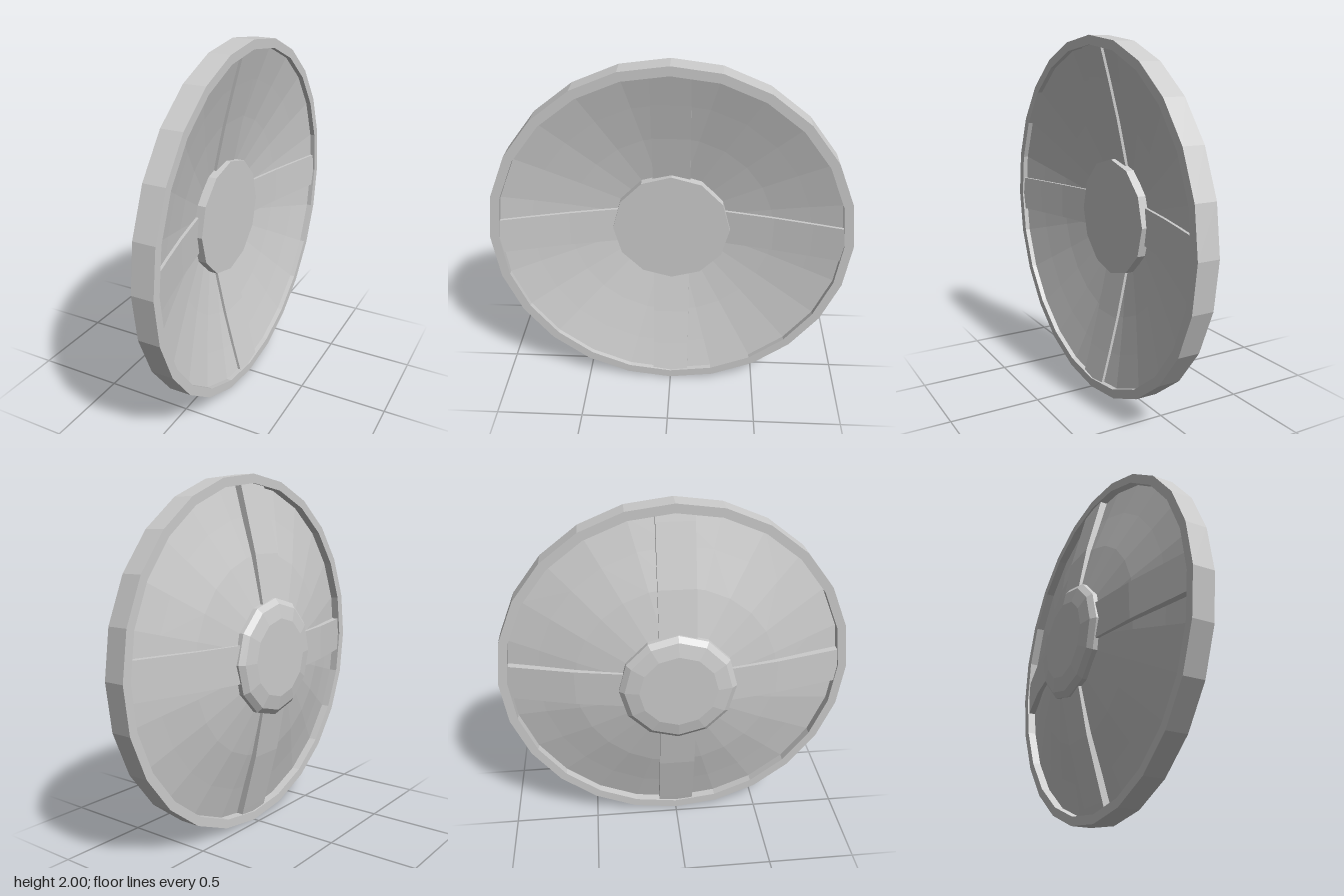
import * as THREE from 'three';

const grey = () => new THREE.MeshStandardMaterial({ color: 0xcccccc, flatShading: true, side: THREE.DoubleSide });

// Spin [radius, x] points about the x axis
function spin(name, points, sides) {
  const geometry = new THREE.LatheGeometry(points.map(([r, x]) => new THREE.Vector2(r, x)), sides);
  geometry.rotateZ(-Math.PI / 2);
  const mesh = new THREE.Mesh(geometry, grey());
  mesh.name = name;
  return mesh;
}

export function createModel() {
  const model = new THREE.Group();
  model.name = 'roundShield';
  const body = new THREE.Group();
  body.name = 'shieldBody';
  body.position.y = 1;
  model.add(body);

  // Band around the edge
  body.add(spin('rim', [[0.95, 0.033], [1, 0.033], [1, 0.155], [0.95, 0.155], [0.95, 0.033]], 24));

  // Shallow dished panel: convex and concave skins, closed by the rim and hub
  body.add(spin('dishOuter', [[0.32, -0.089], [0.57, -0.03], [0.777, 0.033], [0.95, 0.082]], 24));
  body.add(spin('dishInner', [[0.95, 0.127], [0.777, 0.08], [0.57, 0.027], [0.32, -0.028]], 24));

  // Central hub with a chamfered, domed outer side
  body.add(spin('hub', [[0, -0.155], [0.22, -0.155], [0.3, -0.139], [0.33, -0.114],
    [0.33, 0.022], [0, 0.022]], 12));

  // Four straps that follow the dish and stand proud of both sides
  const outline = [
    [0.3, -0.107], [0.57, -0.056], [0.907, 0.033], [0.955, 0.046],
    [0.955, 0.148], [0.777, 0.1], [0.57, 0.047], [0.3, -0.012],
  ];
  const width = 0.207;
  const strapGeometry = new THREE.ExtrudeGeometry(
    new THREE.Shape(outline.map(([r, x]) => new THREE.Vector2(x, r))),
    { depth: width, bevelEnabled: false });
  strapGeometry.translate(0, 0, -width / 2);
  for (let i = 0; i < 4; i++) {
    const strap = new THREE.Mesh(strapGeometry, grey());
    strap.name = `strap${i + 1}`;
    strap.rotation.x = (i * Math.PI) / 2;
    body.add(strap);
  }
  return model;
}
